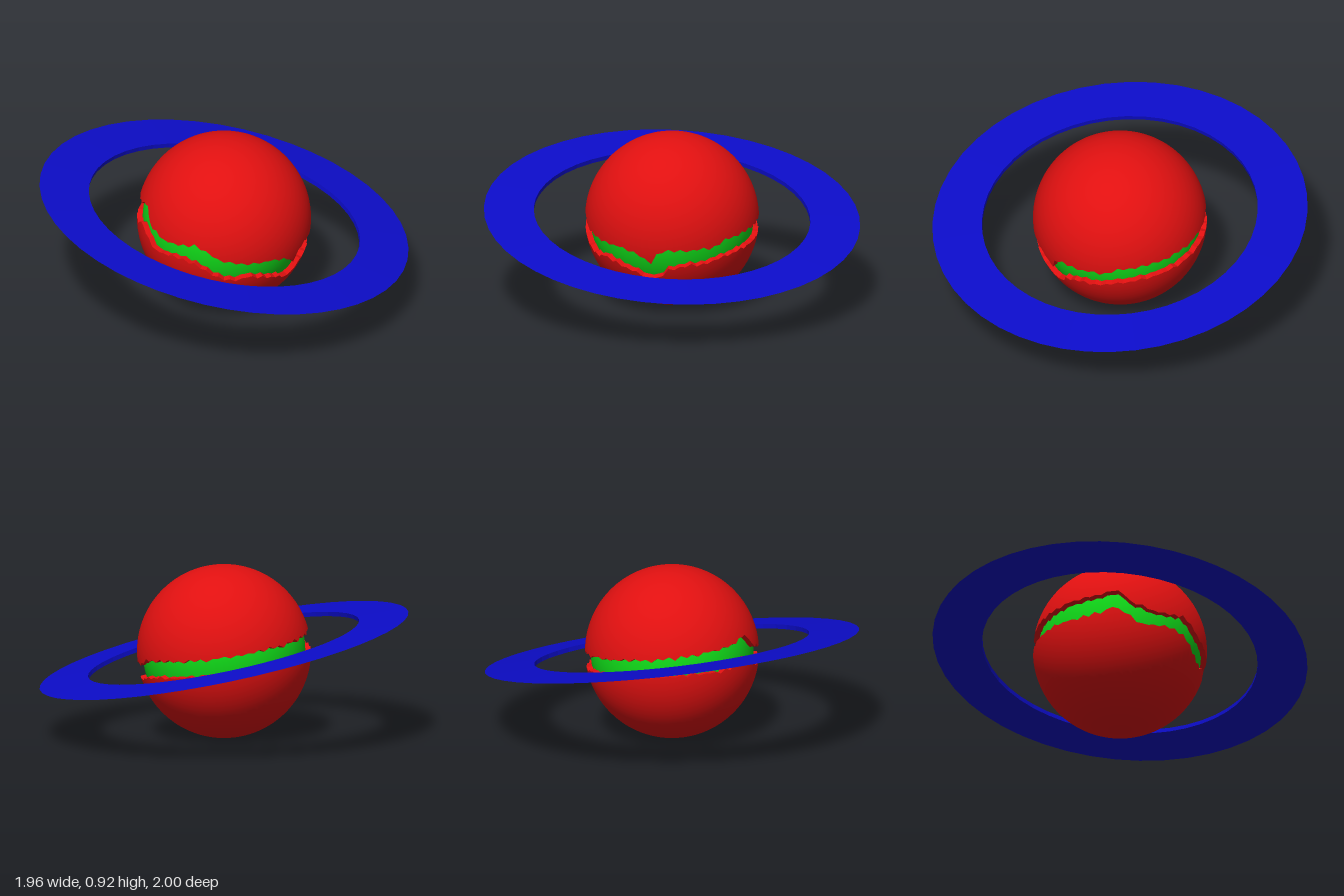
import * as THREE from 'three';

const R = 0.462, CORE = 0.432, COLS = 90;

// Crack outline: [azimuth in degrees from +z towards +x, lower y, upper y]
const CRACK = [
  [-90, 0.47, 0.59], [-75, 0.48, 0.59], [-66, 0.51, 0.62], [-59, 0.49, 0.61], [-55, 0.46, 0.55],
  [-48, 0.42, 0.53], [-40, 0.42, 0.50], [-28, 0.43, 0.50], [-14, 0.41, 0.52], [-6, 0.38, 0.49],
  [0, 0.34, 0.46], [12, 0.31, 0.43], [24, 0.33, 0.41], [38, 0.30, 0.41], [50, 0.27, 0.39],
  [58, 0.24, 0.35], [62, 0.24, 0.335], [68, 0.25, 0.40], [75, 0.30, 0.41], [90, 0.32, 0.41],
  [106, 0.33, 0.41], [112, 0.35, 0.44], [135, 0.37, 0.46], [160, 0.39, 0.48], [180, 0.42, 0.505],
  [205, 0.44, 0.53], [225, 0.455, 0.55], [250, 0.47, 0.57], [270, 0.47, 0.59],
];

function seeded(seed) {
  return () => (seed = (seed * 16807) % 2147483647) / 2147483647;
}

// Polar angle of a jagged crack edge at every column (column 1 = lower, 2 = upper)
function crackEdge(side, seed) {
  const rand = seeded(seed), edge = [];
  for (let i = 0; i < COLS; i++) {
    const a = -90 + (360 * i) / COLS;
    const k = CRACK.findIndex((p) => p[0] > a);
    const p = CRACK[k - 1], q = CRACK[k];
    const y = THREE.MathUtils.lerp(p[side], q[side], (a - p[0]) / (q[0] - p[0]));
    const tooth = (i % 2 ? 1 : -1) * 0.006 + (rand() - 0.5) * 0.012;
    edge.push(Math.acos((y + tooth - R) / R));
  }
  return edge;
}

function onSphere(r, theta, u) {
  const a = (u - 0.25) * 2 * Math.PI;
  return new THREE.Vector3(Math.sin(theta) * Math.sin(a), Math.cos(theta), Math.sin(theta) * Math.cos(a)).multiplyScalar(r);
}

// Half of the crust: a spherical cap ending at the jagged edge, with a broken rim wall
function crustHalf(name, edge, upper, material, rimMaterial) {
  const group = new THREE.Group();
  group.name = name;
  const at = (u) => edge[Math.round(u * COLS) % COLS];

  const cap = new THREE.SphereGeometry(R, COLS, 28, 0, Math.PI * 2, upper ? 0 : Math.PI / 2, Math.PI / 2);
  const { position, normal, uv } = cap.attributes;
  for (let i = 0; i < position.count; i++) {
    const u = uv.getX(i), t = 1 - uv.getY(i);
    const theta = upper ? t * at(u) : THREE.MathUtils.lerp(at(u), Math.PI, t);
    const p = onSphere(R, theta, u);
    position.setXYZ(i, p.x, p.y, p.z);
    p.normalize();
    normal.setXYZ(i, p.x, p.y, p.z);
  }
  const surface = new THREE.Mesh(cap, material);
  surface.name = name + 'Surface';

  const wall = new THREE.PlaneGeometry(1, 1, COLS, 1);
  const wp = wall.attributes.position;
  for (let i = 0; i < wp.count; i++) {
    const u = wall.attributes.uv.getX(i);
    const p = onSphere(wall.attributes.uv.getY(i) > 0.5 ? R : CORE - 0.005, at(u), u);
    wp.setXYZ(i, p.x, p.y, p.z);
  }
  const rim = new THREE.Mesh(wall, rimMaterial);
  rim.name = name + 'Rim';

  group.add(surface, rim);
  return group;
}

export function createModel() {
  const model = new THREE.Group();
  model.name = 'ringedPlanet';
  const red = new THREE.MeshStandardMaterial({ color: 0xe01010 });
  const redRim = new THREE.MeshStandardMaterial({ color: 0xe01010, flatShading: true, side: THREE.DoubleSide });
  const green = new THREE.MeshStandardMaterial({ color: 0x10d818 });
  const blue = new THREE.MeshStandardMaterial({ color: 0x0c0cc8, flatShading: true });

  // Planet: green core showing through the crack between two crust halves
  const planet = new THREE.Group();
  planet.name = 'planet';
  planet.position.y = R;
  const core = new THREE.Mesh(new THREE.SphereGeometry(CORE, 64, 40), green);
  core.name = 'core';
  planet.add(
    core,
    crustHalf('upperCrust', crackEdge(2, 71), true, red, redRim),
    crustHalf('lowerCrust', crackEdge(1, 233), false, red, redRim),
  );

  // Tilted ring, thick inside and tapering to a sharp outer edge
  const profile = [[0.735, -0.012], [1, 0], [0.735, 0.012], [0.735, -0.012]];
  const ring = new THREE.Mesh(new THREE.LatheGeometry(profile.map(([x, y]) => new THREE.Vector2(x, y)), 48), blue);
  ring.name = 'ring';
  ring.position.y = 0.465;
  ring.rotation.z = -THREE.MathUtils.degToRad(11.7);

  model.add(planet, ring);
  return model;
}
